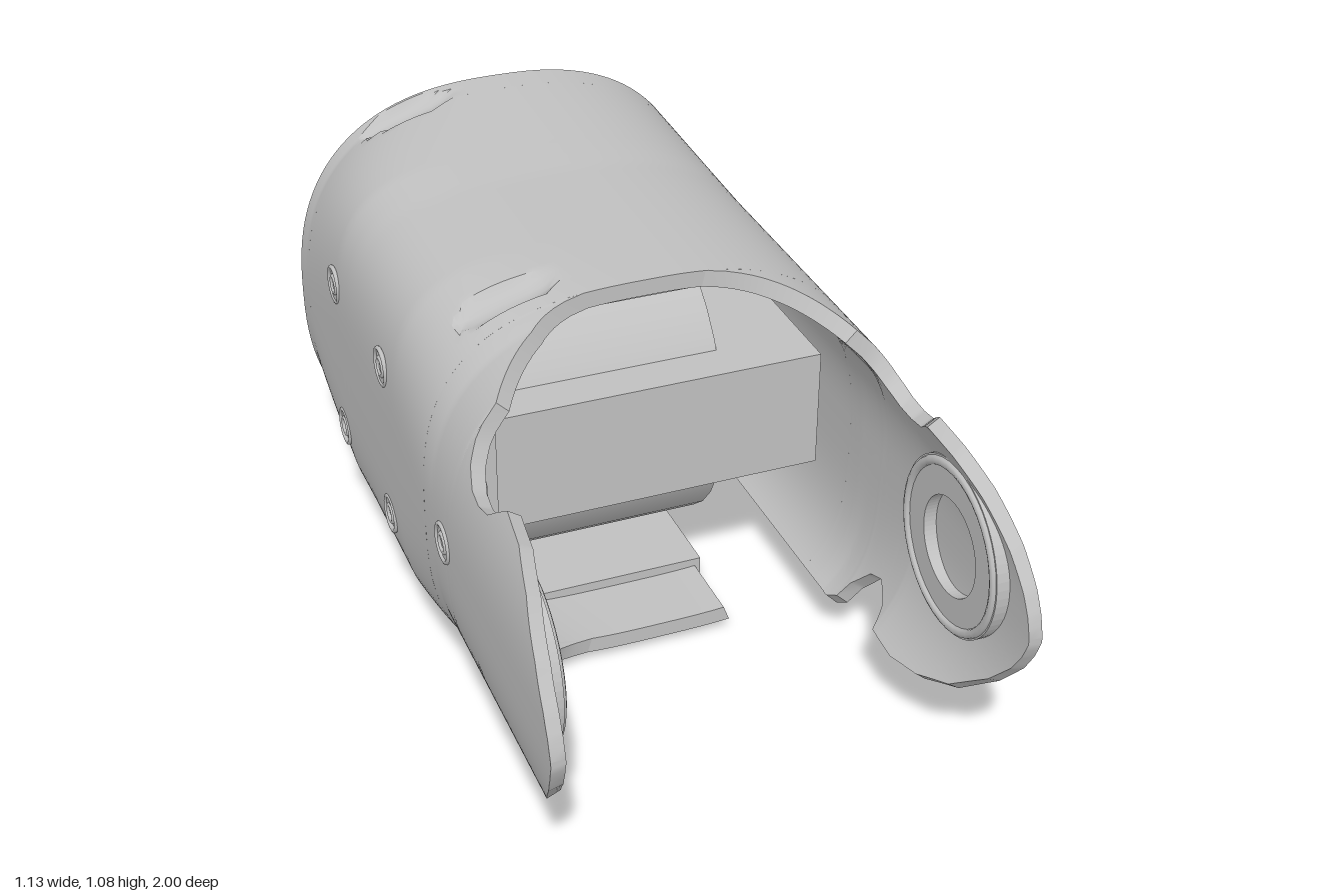
import * as THREE from 'three';
import { toCreasedNormals } from 'three/addons/utils/BufferGeometryUtils.js';

const MID = 0.54; // height of the housing axis

// piecewise-linear lookup in [[position, value], ...]
function lookup(table, p) {
  if (p <= table[0][0]) return table[0][1];
  for (let i = 1; i < table.length; i++) {
    const [p0, v0] = table[i - 1], [p1, v1] = table[i];
    if (p <= p1) return v0 + (v1 - v0) * (p - p0) / (p1 - p0);
  }
  return table[table.length - 1][1];
}

// upper and lower outline of the side cheeks, as [z, y]
const HIGH = [[0.13, 1.05], [0.14, 1.045], [0.33, 0.93], [0.345, 0.87], [0.38, 0.82], [0.43, 0.787], [0.48, 0.78],
  [0.53, 0.79], [0.57, 0.82], [0.6, 0.84], [0.7, 0.822], [0.8, 0.77], [0.9, 0.68], [0.96, 0.6], [0.985, 0.55], [1, 0.5]];
const LOW = [[0.13, 0.03], [0.14, 0.035], [0.3, 0.13], [0.31, 0.17], [0.36, 0.23], [0.41, 0.25], [0.47, 0.22], [0.5, 0.177],
  [0.6, 0.172], [0.7, 0.19], [0.8, 0.23], [0.9, 0.315], [0.96, 0.39], [0.985, 0.44], [1, 0.485]];
const HALF_HEIGHT = [[-1, 0.54], [-0.45, 0.51]];
const WALL = [[-1, 0.08], [-0.96, 0.08], [-0.94, 0.04], [0.2, 0.04], [0.5, 0.033]];
const BULGE_LEFT = [[-0.95, 0], [-0.6, 1.5], [-0.1, 1.5], [0.2, 0.2]];
const BULGE_RIGHT = [[-0.9, 0], [-0.5, 1], [0.25, 1], [0.5, 0]];
const SLOT_Y = [[-0.92, 0.2], [-0.6, 0.19], [-0.52, 0.11]];
const DENTS = [[-0.26, -0.94], [-0.32, 0.05]];

const power = (c, s, z) => 2.5 + (c < 0 ? lookup(BULGE_LEFT, z) : s < 0 ? lookup(BULGE_RIGHT, z) : 0);

// point on the rounded cross-section at angle t
function section(t, z, inset) {
  const c = Math.cos(t), s = Math.sin(t), e = 2 / power(c, s, z);
  const x = (0.56 - inset) * Math.sign(c) * Math.abs(c) ** e;
  let y = (lookup(HALF_HEIGHT, z) - inset) * Math.sign(s) * Math.abs(s) ** e;
  if (!inset) for (const [dx, dz] of DENTS) {
    const d = 1 - ((x - dx) / 0.12) ** 2 - ((z - dz) / 0.05) ** 2;
    if (d > 0) y -= Math.sign(y) * 0.03 * Math.sqrt(d);
  }
  return [x, y + MID, z];
}

// angle at which a side reaches height y
function angleAt(y, z, side) {
  const h = Math.min(0.9999, Math.abs(y - MID) / lookup(HALF_HEIGHT, z));
  const a = Math.asin(h ** (power(side, y - MID, z) / 2)) * Math.sign(y - MID);
  return side > 0 ? a : Math.PI - a;
}

function stations(from, to, step) {
  const n = Math.round((to - from) / step);
  return Array.from({ length: n + 1 }, (_, i) => from + (to - from) * i / n);
}

// thick curved wall lofted along z between two edge angles
function wall(zs, start, end, n) {
  const pos = [], idx = [], m = 2 * (n + 1);
  zs.forEach((z, j) => {
    const a = start(z), b = end(z), w = lookup(WALL, z);
    for (let i = 0; i <= n; i++) pos.push(...section(a + (b - a) * i / n, z, 0));
    for (let i = n; i >= 0; i--) pos.push(...section(a + (b - a) * i / n, z, w));
    if (!j) return;
    for (let i = 0; i < m; i++) {
      const k = (i + 1) % m, p = (j - 1) * m, q = j * m;
      idx.push(p + i, p + k, q + k, p + i, q + k, q + i);
    }
  });
  const top = (zs.length - 1) * m;
  for (let i = 0; i < n; i++) {
    const o = i, o1 = i + 1, r = m - 1 - i, r1 = m - 2 - i;
    idx.push(top + o, top + o1, top + r1, top + o, top + r1, top + r);
    idx.push(o, r1, o1, o, r, r1);
  }
  const g = new THREE.BufferGeometry();
  g.setAttribute('position', new THREE.Float32BufferAttribute(pos, 3));
  g.setIndex(idx);
  return toCreasedNormals(g, 0.6);
}

function circle(x, y, r) {
  return new THREE.Path().absarc(x, y, r, 0, Math.PI * 2, true);
}

function plate(shape, depth) {
  return new THREE.ExtrudeGeometry(shape, { depth, bevelEnabled: false, curveSegments: 32 });
}

export function createModel() {
  const model = new THREE.Group();
  const grey = new THREE.MeshStandardMaterial({ color: 0xc0c0c0 });
  grey.name = 'light grey';
  const add = (name, geometry, x = 0, y = 0, z = 0) => {
    const mesh = new THREE.Mesh(geometry, grey);
    mesh.name = name;
    mesh.position.set(x, y, z);
    model.add(mesh);
    return mesh;
  };
  const box = (name, x0, x1, y0, y1, z0, z1) =>
    add(name, new THREE.BoxGeometry(x1 - x0, y1 - y0, z1 - z0), (x0 + x1) / 2, (y0 + y1) / 2, (z0 + z1) / 2);

  // closed rear collar, then the housing with an open slot along its lower left corner
  add('rearCollar', wall([-1, -0.992, ...stations(-0.98, -0.92, 0.01)], () => 0, () => Math.PI * 2, 120));
  const slotSide = z => angleAt(lookup(SLOT_Y, z), z, 1);
  const slotFloor = z => Math.PI * 2 - Math.acos((0.21 / 0.56) ** (power(1, -1, z) / 2));
  add('housing', wall(stations(-0.92, 0.14, 0.02), slotSide, slotFloor, 120));

  // side cheeks reaching forward
  const zs = [...stations(0.14, 0.96, 0.01), 0.97, 0.98, 0.985, 0.992, 1];
  add('leftCheek', wall(zs, z => angleAt(Math.max(0.11, lookup(LOW, z)), z, 1), z => angleAt(lookup(HIGH, z), z, 1), 40));
  add('rightCheek', wall(zs, z => angleAt(lookup(HIGH, z), z, -1), z => angleAt(lookup(LOW, z), z, -1), 40));

  // bearing rings inside the cheeks
  for (const side of [-1, 1]) {
    const ring = new THREE.Shape().absarc(0, 0, 0.215, 0, Math.PI * 2);
    ring.holes.push(circle(0, 0, 0.12));
    const mesh = add('bearingRing', plate(ring, 0.035), side > 0 ? 0.495 : -0.53, 0.55, 0.69);
    mesh.rotation.y = Math.PI / 2;
    const rim = add('bearingRim', new THREE.TorusGeometry(0.2, 0.012, 8, 40), side * 0.497, 0.55, 0.69);
    rim.rotation.y = Math.PI / 2;
  }

  // cross-wise motor with its drilled end flange
  const drum = add('motorDrum', new THREE.CylinderGeometry(0.405, 0.405, 0.71, 32), -0.105, 0.495, -0.42);
  drum.rotation.z = Math.PI / 2;
  const flange = new THREE.Shape().absarc(0, 0, 0.27, 0, Math.PI * 2);
  for (let i = 0; i < 6; i++) flange.holes.push(circle(0.21 * Math.cos(i * Math.PI / 3), 0.21 * Math.sin(i * Math.PI / 3), 0.025));
  flange.holes.push(circle(0, 0, 0.11));
  add('motorFlange', plate(flange, 0.018), 0.248, 0.54, -0.42).rotation.y = Math.PI / 2;

  // gearbox block with a framed window on its front
  box('gearbox', -0.47, 0.48, 0.385, 0.695, -0.88, 0.04);
  box('gearboxWindow', -0.447, -0.355, 0.42, 0.665, 0.04, 0.046);

  // rear drive plate
  const half = [[0.475, 0.15], [0.4, 0.15], [0.36, 0.17], [0.31, 0.23], [0.25, 0.27], [0.12, 0.28], [0.08, 0.31]];
  const flip = (list, sx, sy) => list.map(([x, y]) => new THREE.Vector2(x * sx, y * sy));
  const rear = new THREE.Shape([...flip(half, 1, 1), ...flip([...half].reverse(), -1, 1),
    ...flip(half, -1, -1), ...flip([...half].reverse(), 1, -1)]);
  rear.holes.push(circle(0, 0, 0.12));
  for (let i = 0; i < 6; i++) {
    const a = Math.PI / 2 + i * Math.PI / 3;
    rear.holes.push(circle(0.215 * Math.cos(a), 0.215 * Math.sin(a), 0.028));
  }
  add('rearDrivePlate', plate(rear, 0.035), 0, MID, -0.965);

  // rails that fill the crown and the floor of the housing
  const crown = new THREE.Shape([[-0.42, 0.9], [0.4, 0.9], [0.3, 0.97], [0.15, 1.015], [-0.2, 1.015], [-0.36, 0.97]]
    .map(p => new THREE.Vector2(...p)));
  add('crownRail', plate(crown, 0.8), 0, 0, -0.84);
  box('floorRail', -0.33, 0.21, 0.05, 0.095, -0.93, -0.05);

  // mounting bracket on the right inner wall
  const bracket = new THREE.Shape([[-0.33, 0.36], [-0.27, 0.3], [0.2, 0.3], [0.2, 0.78], [-0.27, 0.78], [-0.33, 0.72]]
    .map(p => new THREE.Vector2(...p)));
  add('wallBracket', plate(bracket, 0.04), -0.505, 0, 0).rotation.y = Math.PI / 2;
  const boss = add('bracketScrew', new THREE.CylinderGeometry(0.045, 0.045, 0.02, 24), -0.457, 0.54, 0.15);
  boss.rotation.z = Math.PI / 2;
  add('bracketScrewRing', new THREE.TorusGeometry(0.025, 0.008, 8, 24), -0.447, 0.54, 0.15).rotation.y = Math.PI / 2;

  // screw seats on both sides
  const seats = [[1, 0.54, -0.15], [-1, 0.56, 0.28]];
  for (const z of [-0.63, -0.2]) for (const y of [0.33, 0.75]) seats.push([-1, y, z]);
  for (const [side, y, z] of seats) {
    const x = section(angleAt(y, z, side), z, 0)[0];
    add('screwSeat', new THREE.TorusGeometry(0.045, 0.006, 8, 28), x, y, z).rotation.y = Math.PI / 2;
    add('screwHead', new THREE.TorusGeometry(0.022, 0.006, 8, 20), x, y, z).rotation.y = Math.PI / 2;
  }
  return model;
}
